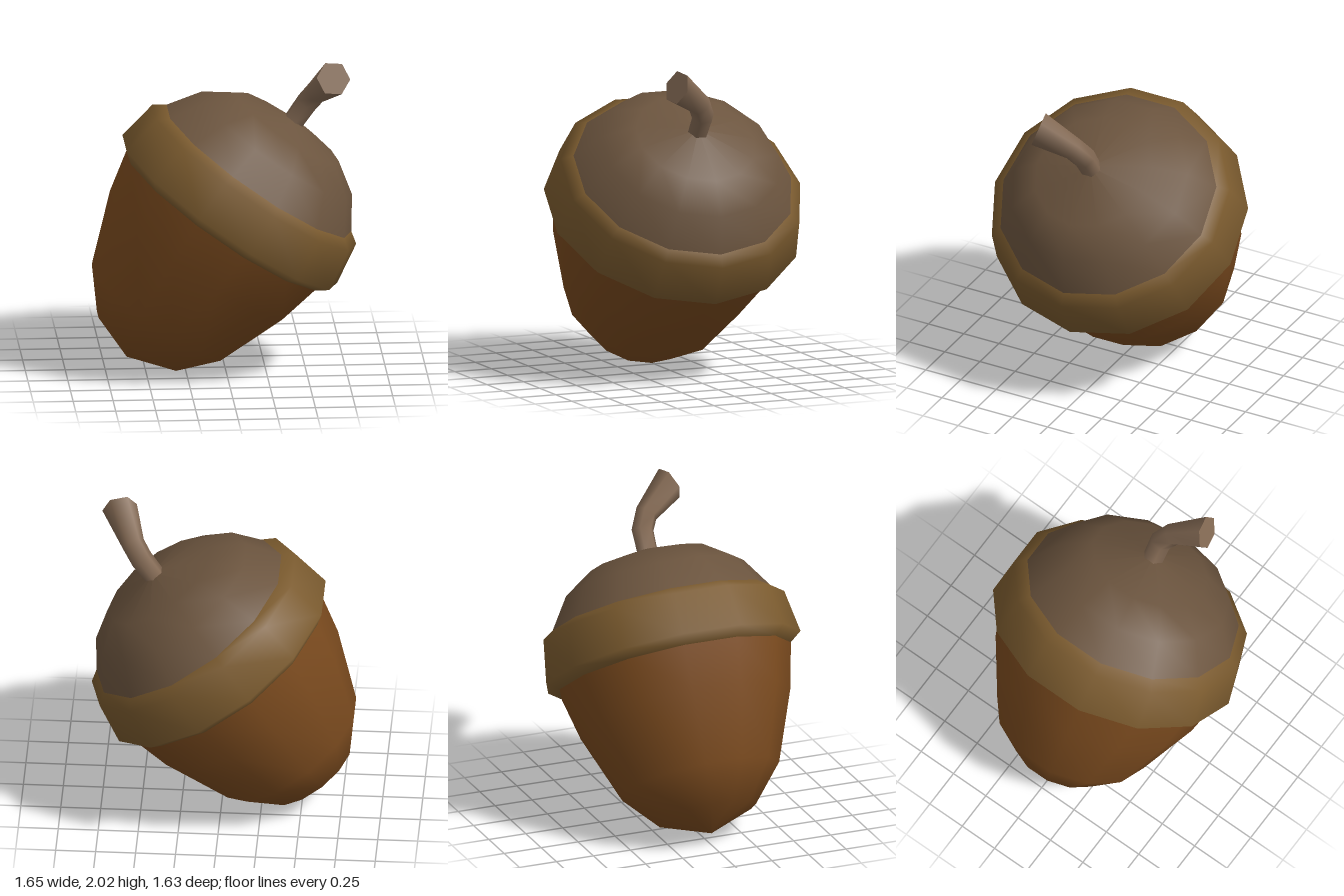
import * as THREE from 'three';
import { toCreasedNormals } from 'three/addons/utils/BufferGeometryUtils.js';

const SIDES = 13;

function part(name, geometry, color) {
  const mesh = new THREE.Mesh(geometry, new THREE.MeshStandardMaterial({ color }));
  mesh.name = name;
  return mesh;
}

// Turned shape from [radius, height] pairs, listed bottom to top, with a corner on +x
function turned(name, profile, color) {
  const points = profile.map(([r, y]) => new THREE.Vector2(r, y));
  return part(name, new THREE.LatheGeometry(points, SIDES, Math.PI / 2), color);
}

// Six-sided stem that bends toward +z and flares at its cut end
function stemGeometry() {
  const rings = [
    { y: 1.54, z: 0, r: 0.068, tilt: 0 },
    { y: 1.684, z: 0, r: 0.072, tilt: 0.2 },
    { y: 1.786, z: 0.05, r: 0.073, tilt: 0.72 },
    { y: 1.955, z: 0.245, r: 0.11, tilt: 1.13 },
  ];
  const geo = new THREE.CylinderGeometry(1, 1, 3, 6, 3);
  const pos = geo.attributes.position;
  for (let i = 0; i < pos.count; i++) {
    const ring = rings[Math.round(pos.getY(i) + 1.5)];
    const x = pos.getX(i) * ring.r;
    const z = pos.getZ(i) * ring.r;
    pos.setXYZ(i, x, ring.y - z * Math.sin(ring.tilt), ring.z + z * Math.cos(ring.tilt));
  }
  return toCreasedNormals(geo, 1.2);
}

export function createModel() {
  const model = new THREE.Group();
  model.name = 'acorn';

  // Everything is built upright, then leaned toward +x
  const leaning = new THREE.Group();
  leaning.name = 'leaningAcorn';
  leaning.rotation.z = -0.6065;
  leaning.position.set(-0.451, 0.313, 0);
  model.add(leaning);

  // Nut
  leaning.add(turned('nut',
    [[0, -0.288], [0.315, -0.165], [0.512, 0.06], [0.685, 0.507], [0.748, 0.783]], 0x7a4a1e));

  // Cap: thick rim and dome
  leaning.add(turned('capRim',
    [[0.748, 0.783], [0.823, 0.84], [0.779, 1.11], [0.707, 1.16]], 0x7a5a2e));
  leaning.add(turned('capDome',
    [[0.707, 1.16], [0.575, 1.358], [0.385, 1.488], [0, 1.565]], 0x6b543e));

  // Stem
  leaning.add(part('stem', stemGeometry(), 0x846a54));

  return model;
}
